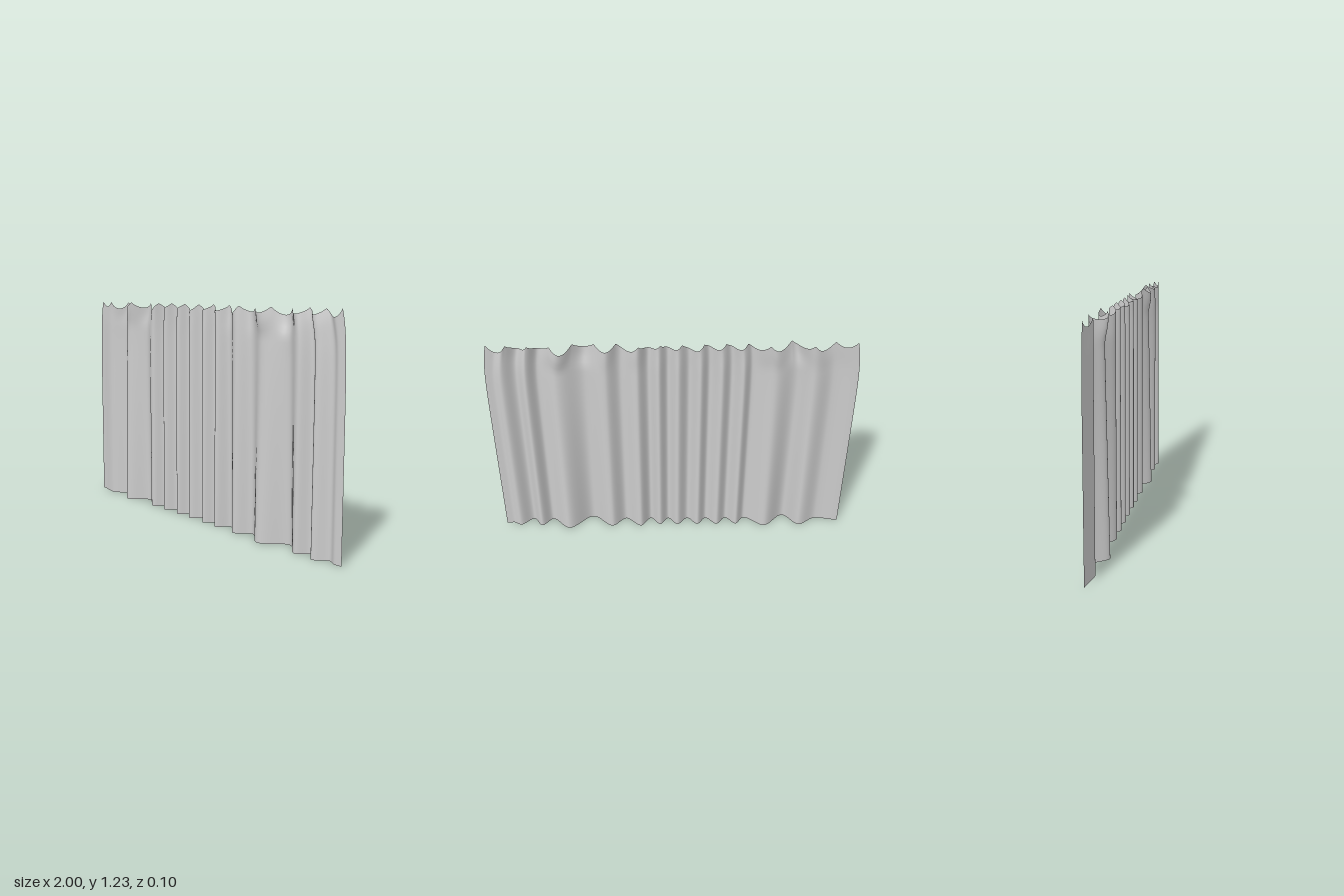
import * as THREE from 'three';

// Fold crests along the hem: [x, z]
const FOLDS = [
  [-1, 0], [-0.87, 0.02], [-0.76, -0.037], [-0.67, 0.047], [-0.55, -0.042], [-0.43, 0.028],
  [-0.38, -0.026], [-0.32, 0.028], [-0.265, -0.026], [-0.2, 0.027], [-0.15, -0.026], [-0.09, 0.027],
  [-0.03, -0.026], [0.025, 0.027], [0.075, -0.024], [0.13, 0.03], [0.19, -0.036], [0.28, 0.03],
  [0.36, -0.034], [0.48, 0.05], [0.62, -0.05], [0.725, 0.03], [0.785, -0.026], [0.84, 0.034],
  [0.915, -0.018], [0.96, 0.003], [1, 0],
];
// Hook positions along the top edge
const HOOKS = Array.from({ length: 17 }, (_, i) => -1 + i * 0.1185).concat([1]);

const smooth = (t) => t * t * (3 - 2 * t);
const ramp = (a, b, v) => smooth(THREE.MathUtils.clamp((v - a) / (b - a), 0, 1));

// Depth of the cloth at x; folds wider than the rest relax towards the top
function foldDepth(x, y) {
  let i = 0;
  while (i < FOLDS.length - 2 && x > FOLDS[i + 1][0]) i++;
  const [x0, a] = FOLDS[i];
  const [x1, b] = FOLDS[i + 1];
  const relax = THREE.MathUtils.clamp(y / 1.08, 0, 1);
  const flare = ramp(1.08, 1.21, y);
  const level = (z) => {
    const narrow = Math.sign(z) * Math.min(Math.abs(z), 0.025);
    const hung = THREE.MathUtils.lerp(z, narrow, relax);
    return THREE.MathUtils.lerp(hung, z * 0.85, flare);
  };
  return THREE.MathUtils.lerp(level(a), level(b), smooth((x - x0) / (x1 - x0)));
}

// Height of the top edge, sagging between hooks
function topHeight(x) {
  let i = 0;
  while (i < HOOKS.length - 2 && x > HOOKS[i + 1]) i++;
  const span = HOOKS[i + 1] - HOOKS[i];
  const t = (x - HOOKS[i]) / span;
  const sag = (i % 3 === 1 ? 0.042 : 0.032) * Math.min(1, span / 0.1);
  return 1.23 - sag * Math.pow(Math.sin(Math.PI * t), 0.8);
}

export function createModel() {
  const group = new THREE.Group();
  group.name = 'curtain';
  const fabric = new THREE.MeshStandardMaterial({ color: 0xcccccc, side: THREE.DoubleSide });
  fabric.name = 'grey fabric';

  // One hanging sheet, pleated by rule
  const geometry = new THREE.PlaneGeometry(2, 1, 360, 36);
  const pos = geometry.attributes.position;
  for (let i = 0; i < pos.count; i++) {
    const x = pos.getX(i);
    const v = pos.getY(i) + 0.5;
    const flat = v * 1.23;
    // sag only affects the heading
    const y = flat - (1.23 - topHeight(x)) * ramp(0.8, 1, v);
    // sides draw in below the top hooks
    const pull = 0.008 * v + 0.029 * Math.pow(v, 12);
    pos.setXYZ(i, x * (1 - pull), y, foldDepth(x, flat));
  }
  geometry.computeVertexNormals();

  const sheet = new THREE.Mesh(geometry, fabric);
  sheet.name = 'curtainSheet';
  group.add(sheet);
  return group;
}
